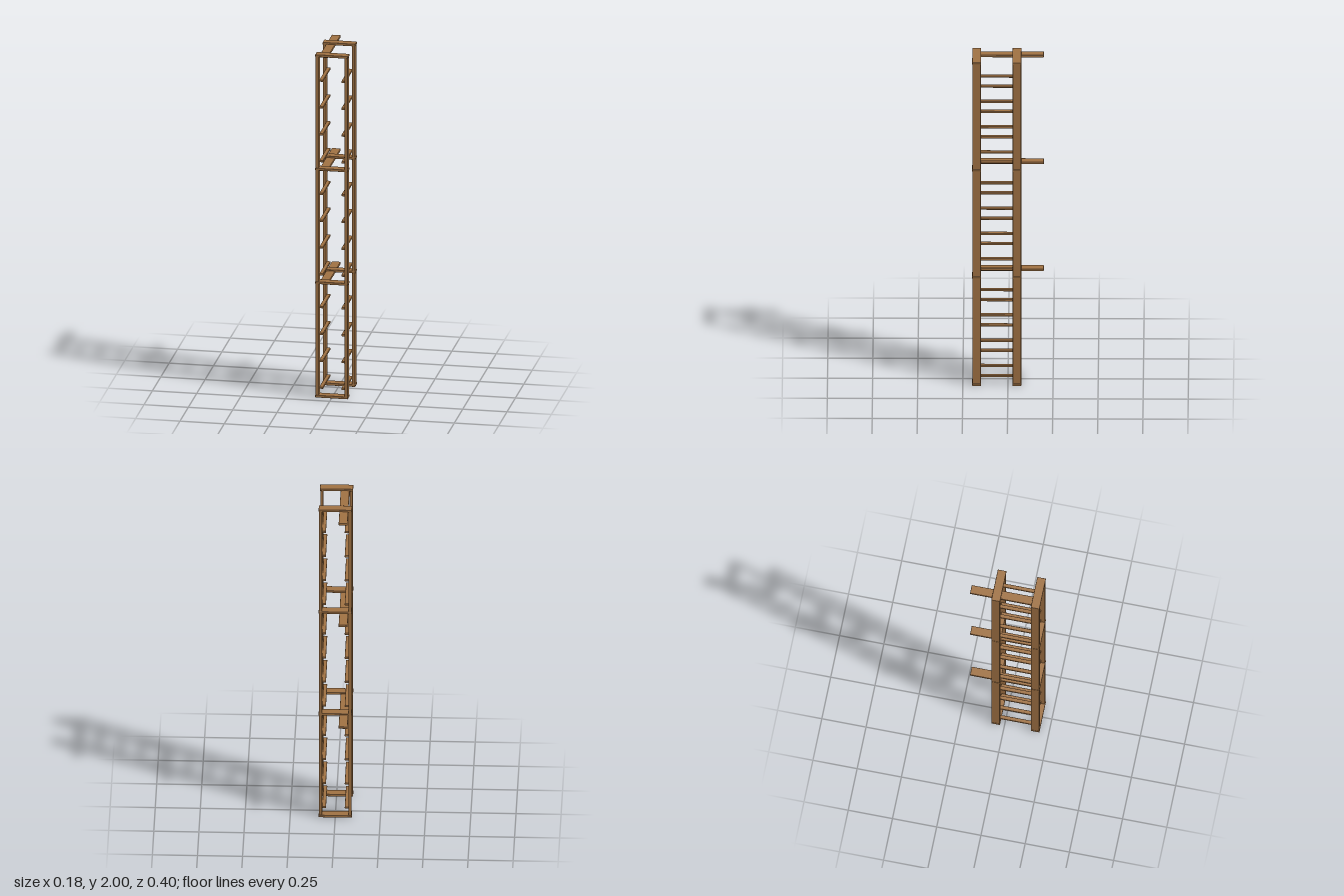
import * as THREE from 'three';
import { RoundedBoxGeometry } from 'three/addons/geometries/RoundedBoxGeometry.js';

export function createModel() {
  const model = new THREE.Group();
  model.name = 'scaffoldLadder';
  const wood = new THREE.MeshStandardMaterial({ color: 0x9f7143 });
  wood.name = 'brownWood';

  // Softly chamfered beam given by its extents on each axis
  function beam(name, [x0, x1], [y0, y1], [z0, z1], parent) {
    const geometry = new RoundedBoxGeometry(x1 - x0, y1 - y0, z1 - z0, 1, 0.002);
    const mesh = new THREE.Mesh(geometry, wood);
    mesh.name = name;
    mesh.position.set((x0 + x1) / 2, (y0 + y1) / 2, (z0 + z1) / 2);
    parent.add(mesh);
  }

  const bay = 0.662; // height of one bay

  // Front and back frames: two posts tied by four crossbars
  for (const [name, z0, z1] of [['frontFrame', 0.15, 0.197], ['backFrame', -0.073, -0.026]]) {
    const frame = new THREE.Group();
    frame.name = name;
    beam('rightPost', [-0.09, -0.073], [0.002, 1.998], [z0, z1], frame);
    beam('leftPost', [0.073, 0.09], [0.002, 1.998], [z0, z1], frame);
    for (let i = 0; i < 4; i++) {
      const y = 0.007 + i * bay;
      beam('crossbar', [-0.092, 0.092], [y - 0.007, y + 0.007], [z0 - 0.001, z1 + 0.001], frame);
    }
    model.add(frame);
  }

  for (let i = 0; i < 3; i++) {
    // Rungs on both sides, fixed to the inner faces of the posts
    for (let j = 0; j < 4; j++) {
      const y = 0.0505 + i * 0.6605 + j * 0.1565;
      beam('rightRung', [-0.073, -0.052], [y - 0.006, y + 0.006], [-0.05, 0.174], model);
      beam('leftRung', [0.052, 0.073], [y - 0.006, y + 0.006], [-0.05, 0.174], model);
    }
    // Wall bracket plank at the top of each bay, reaching out behind
    const y = 0.661 + i * 0.661;
    beam('bracketPlank', [-0.072, -0.023], [y - 0.007, y + 0.007], [-0.198, 0.174], model);
  }
  return model;
}
